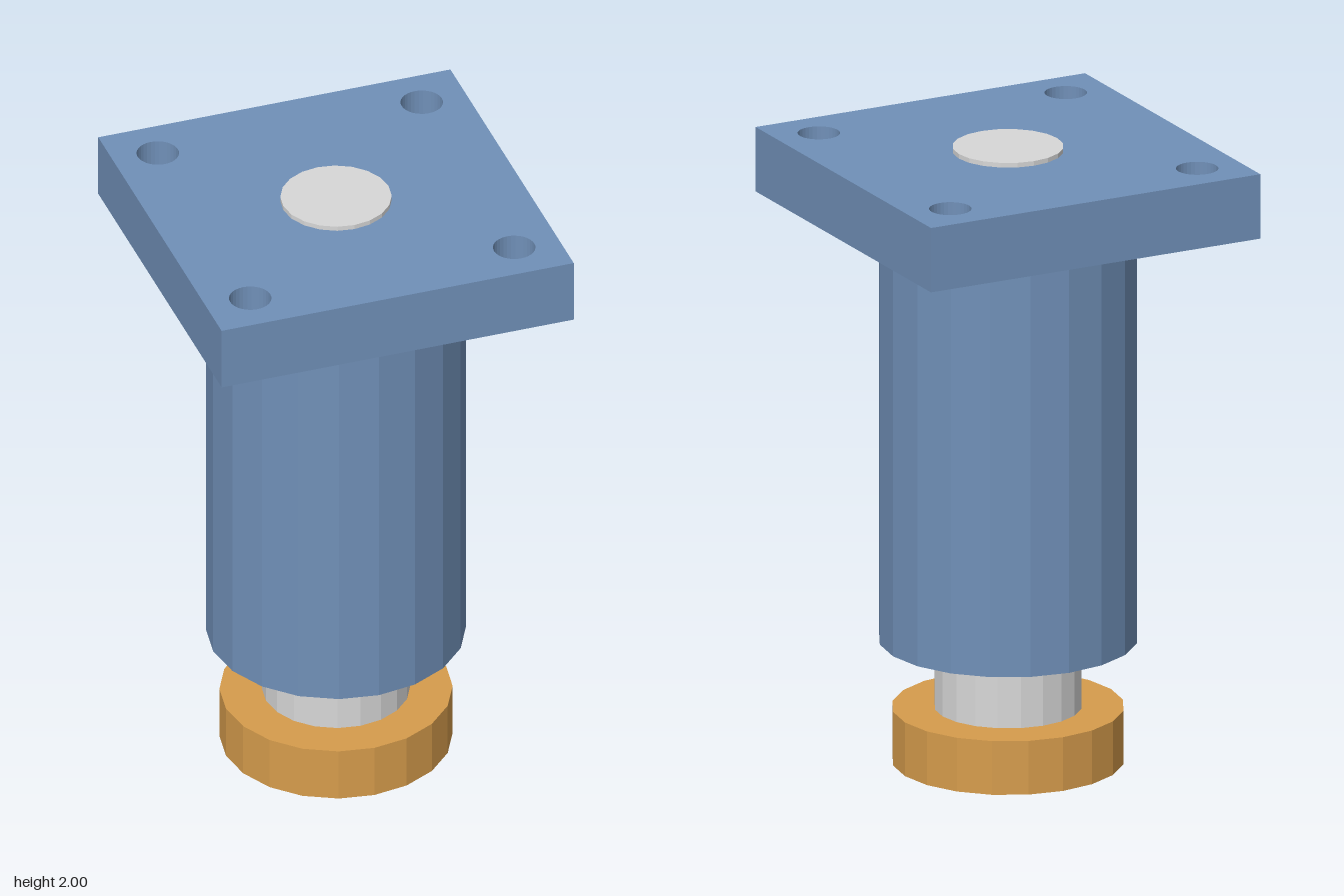
import * as THREE from 'three';

const material = (name, color) => {
  const m = new THREE.MeshStandardMaterial({ color, flatShading: true });
  m.name = name;
  return m;
};

export function createModel() {
  const group = new THREE.Group();
  const blue = material('steel blue', 0x7090b8);
  const grey = material('light grey', 0xd8d8d8);
  const ochre = material('ochre', 0xd69c4c);

  // Upright 20-sided cylinder between two heights
  const cylinder = (name, radius, y0, y1, mat) => {
    const mesh = new THREE.Mesh(new THREE.CylinderGeometry(radius, radius, y1 - y0, 20), mat);
    mesh.position.y = (y0 + y1) / 2;
    mesh.name = name;
    group.add(mesh);
  };
  cylinder('footPad', 0.362, 0, 0.175, ochre);
  cylinder('shaft', 0.23, 0.175, 0.397, grey);
  cylinder('barrel', 0.404, 0.397, 1.775, blue);
  cylinder('topCap', 0.173, 1.985, 2, grey);

  // Square mounting plate with four bolt holes
  const h = 0.579;
  const outline = new THREE.Shape([[-h, -h], [h, -h], [h, h], [-h, h]].map(([x, y]) => new THREE.Vector2(x, y)));
  for (const sx of [-1, 1]) for (const sz of [-1, 1]) {
    outline.holes.push(new THREE.Path().absarc(sx * 0.434, sz * 0.434, 0.066, 0, Math.PI * 2, true));
  }
  const plateGeometry = new THREE.ExtrudeGeometry(outline, { depth: 0.21, bevelEnabled: false, curveSegments: 16 });
  plateGeometry.rotateX(-Math.PI / 2);
  const plate = new THREE.Mesh(plateGeometry, blue);
  plate.position.y = 1.775;
  plate.name = 'mountingPlate';
  group.add(plate);

  return group;
}
